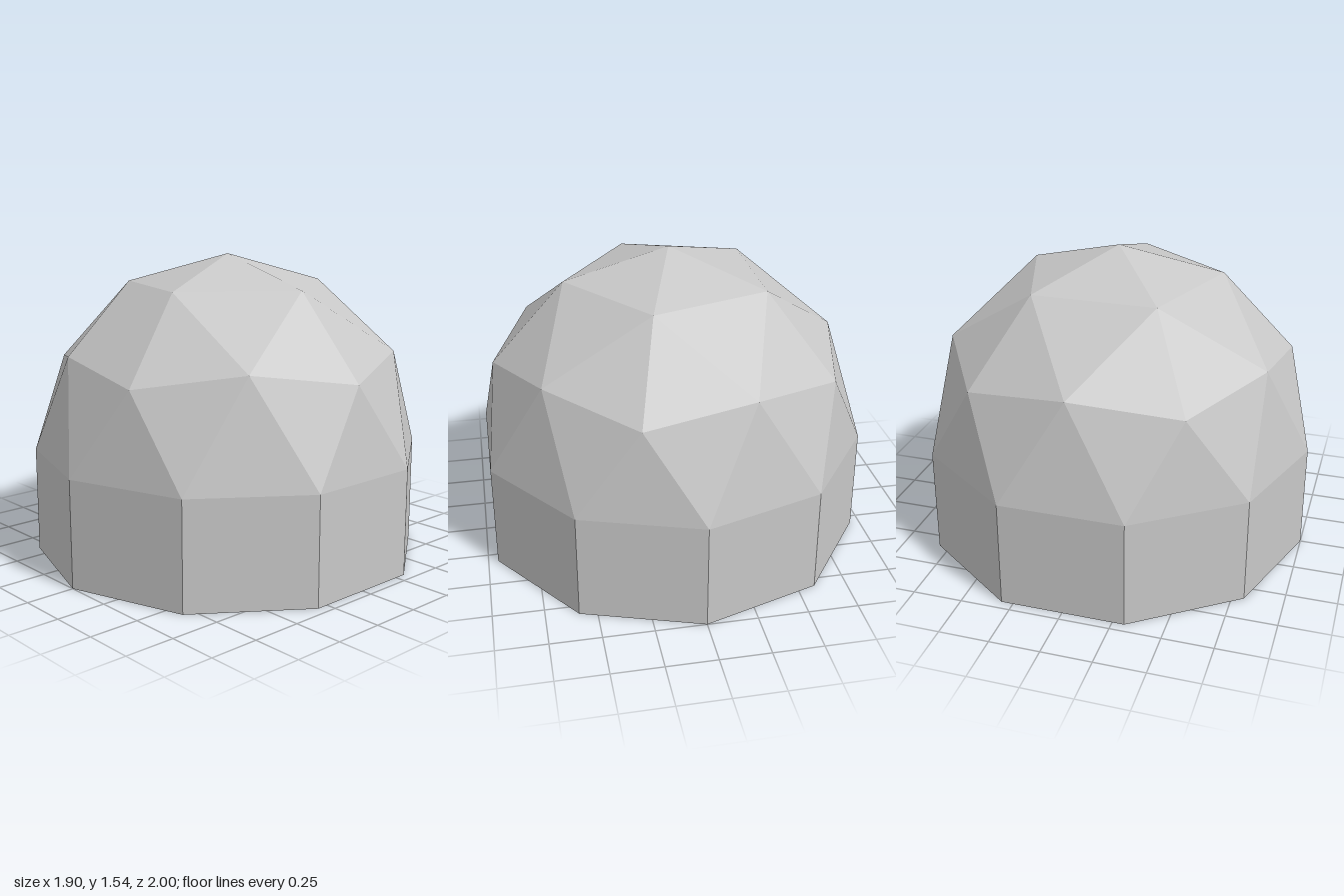
import * as THREE from 'three';

const WALL = 0.54; // height of the straight wall under the dome

// Point on a ring: angle in degrees from +x towards +z
const ring = (radius, y, deg) => {
  const a = THREE.MathUtils.degToRad(deg);
  return [radius * Math.cos(a), y, radius * Math.sin(a)];
};

// Faceted geometry from separate triangles
function facets(triangles) {
  const g = new THREE.BufferGeometry();
  g.setAttribute('position', new THREE.Float32BufferAttribute(triangles.flat(2), 3));
  g.computeVertexNormals();
  return g;
}

export function createModel() {
  const model = new THREE.Group();
  model.name = 'geodesicDome';
  const grey = new THREE.MeshStandardMaterial({ color: 0xc8c8c8, side: THREE.DoubleSide, flatShading: true });
  grey.name = 'light grey';

  const apex = [0, WALL + 1, 0];
  const upper = (d) => ring(0.5257, WALL + 0.8507, d); // ring around the apex
  const hub = (d) => ring(0.8944, WALL + 0.4472, d); // five-way joints
  const mid = (d) => ring(0.8507, WALL + 0.5257, d); // joints between the hubs
  const rim = (d) => ring(1, WALL, d); // foot of the dome

  // Dome: five equal sectors
  const dome = [];
  for (let i = 0; i < 5; i++) {
    const d = i * 72;
    dome.push(
      [apex, upper(d + 72), upper(d)],
      [upper(d), mid(d + 36), hub(d)],
      [upper(d), upper(d + 72), mid(d + 36)],
      [upper(d + 72), hub(d + 72), mid(d + 36)],
      [hub(d), rim(d + 18), rim(d - 18)],
      [hub(d), mid(d + 36), rim(d + 18)],
      [mid(d + 36), rim(d + 54), rim(d + 18)],
      [mid(d + 36), hub(d + 72), rim(d + 54)]
    );
  }
  const domeMesh = new THREE.Mesh(facets(dome), grey);
  domeMesh.name = 'dome';

  // Ten-sided wall, open at top and bottom
  const wall = new THREE.CylinderGeometry(1, 1, WALL, 10, 1, true).translate(0, WALL / 2, 0);
  const wallMesh = new THREE.Mesh(wall, grey);
  wallMesh.name = 'wall';

  model.add(domeMesh, wallMesh);
  return model;
}
